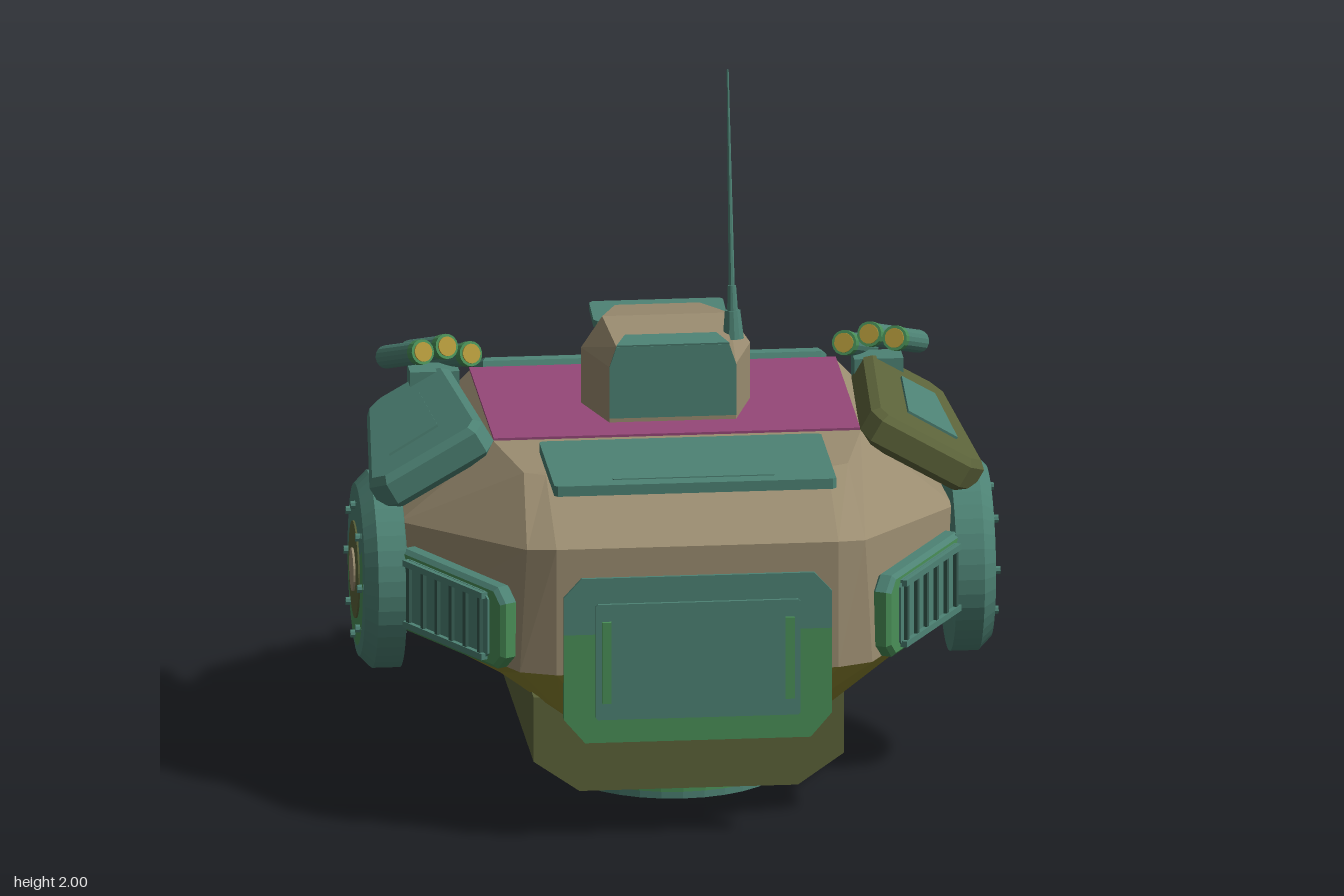
import * as THREE from 'three';

const mat = (name, color) => new THREE.MeshStandardMaterial({ name, color, flatShading: true });

export function createModel() {
  const root = new THREE.Group();
  root.name = 'walkerTorso';
  const tan = mat('tan', 0x9a8c70), teal = mat('teal', 0x4d8274), green = mat('green', 0x4a9058);
  const olive = mat('olive', 0x5c633a), plum = mat('plum', 0x964878), mustard = mat('mustard', 0x8c842f);
  const amber = mat('amber', 0xb59a3c), dark = mat('dark teal', 0x35594f);

  const V = (x, y, z) => new THREE.Vector3(x, y, z);
  const add = (name, geo, m) => {
    const mesh = new THREE.Mesh(geo, m);
    mesh.name = name;
    root.add(mesh);
    return mesh;
  };
  // Set a geometry on a surface: local z along the normal, local y near up
  const place = (name, geo, m, pos, normal = V(0, 0, 1), up = V(0, 1, 0)) => {
    const z = normal.clone().normalize(), x = up.clone().cross(z).normalize();
    const mesh = add(name, geo, m);
    mesh.quaternion.setFromRotationMatrix(new THREE.Matrix4().makeBasis(x, z.clone().cross(x), z));
    mesh.position.copy(pos);
    return mesh;
  };
  // Plate of a given outline, back at z = 0, with a chamfered front edge
  const plate = (pts, depth, bevel = 0) => {
    const shape = new THREE.Shape(pts.map(p => new THREE.Vector2(...p)));
    return new THREE.ExtrudeGeometry(shape, {
      depth: depth - bevel, bevelEnabled: bevel > 0, bevelSegments: 1,
      bevelThickness: bevel, bevelSize: bevel, bevelOffset: -bevel,
    });
  };
  // Material group 1 for upward (dir 1) or downward (dir -1) edges, group 0 for the rest
  const edgeGroups = (geo, dir) => {
    const n = geo.attributes.normal;
    geo.clearGroups();
    for (let i = 0; i < n.count; i += 3) geo.addGroup(i, 3, n.getY(i) * dir > 0.3 ? 1 : 0);
    return geo;
  };
  const cut = (w, h, c) => {
    const a = w / 2, b = h / 2;
    return [[-a + c, -b], [a - c, -b], [a, -b + c], [a, b - c], [a - c, b], [-a + c, b], [-a, b - c], [-a, -b + c]];
  };
  const sym = half => [...half, ...half.slice().reverse().map(([x, y]) => [-x, y])];
  const disc = (r1, r2, d, n = 24) => new THREE.CylinderGeometry(r1, r2, d, n).rotateX(Math.PI / 2);
  const rod = (name, a, b, r1, r2, m, n = 12) =>
    place(name, disc(r2, r1, a.distanceTo(b), n), m, a.clone().lerp(b, 0.5), b.clone().sub(a), V(0.1, 1, 0.05));
  // Skin over mirrored half loops, each listed front to back, capped in strips
  const loft = (levels, capTop, capBottom) => {
    const L = levels.map(h => [...h, ...h.slice().reverse().map(([x, y, z]) => [-x, y, z])]);
    const n = L[0].length, top = L[L.length - 1], out = [];
    const quad = (a, b, c, d) => out.push(...a, ...b, ...c, ...a, ...c, ...d);
    for (let k = 0; k < L.length - 1; k++) for (let i = 0; i < n; i++) {
      const j = (i + 1) % n;
      quad(L[k][i], L[k][j], L[k + 1][j], L[k + 1][i]);
    }
    for (let i = 0; i < n / 2 - 1; i++) {
      if (capTop) quad(top[i], top[i + 1], top[n - 2 - i], top[n - 1 - i]);
      if (capBottom) quad(L[0][n - 1 - i], L[0][n - 2 - i], L[0][i + 1], L[0][i]);
    }
    const g = new THREE.BufferGeometry();
    g.setAttribute('position', new THREE.Float32BufferAttribute(out, 3));
    g.computeVertexNormals();
    return g;
  };

  // Hull
  const floor = [[0.3, 0.36, 0.84], [0.37, 0.35, 0.79], [0.5, 0.33, 0.3], [0.5, 0.33, -0.33], [0.25, 0.36, -0.72]];
  const waist = [[0.4, 0.5, 0.9], [0.5, 0.5, 0.86], [0.8, 0.5, 0.32], [0.75, 0.5, -0.36], [0.33, 0.5, -0.8]];
  const chest = [[0.4, 0.87, 0.9], [0.48, 0.86, 0.86], [0.79, 0.79, 0.32], [0.74, 0.79, -0.36], [0.31, 0.82, -0.79]];
  const roof = [[0.4, 1.0, 0.6], [0.46, 1.0, 0.57], [0.52, 1.02, 0.33], [0.52, 1.02, -0.365], [0.49, 1.015, -0.38]];
  add('hullUpper', loft([waist, chest, roof], true, false), tan);
  add('hullUnderside', loft([floor, waist], false, true), mustard);
  place('roofPanel', plate([[-0.52, -0.32], [0.52, -0.32], [0.52, 0.37], [-0.52, 0.37]], 0.008), plum,
    V(0, 1.019, 0), V(0, 1, 0), V(0, 0, -1));
  place('roofHatch', plate(cut(0.8, 0.44, 0.01), 0.03), teal, V(0, 1.01, 0.625), V(0, 1, 0), V(0, 0, -1));
  place('hatchRib', plate(cut(0.46, 0.012, 0.003), 0.005), teal, V(0, 1.038, 0.79), V(0, 1, 0), V(0, 0, -1));

  // Hip block, neck and waist ring
  const hip = sym([[0.31, 0.08], [0.44, 0.17], [0.44, 0.36]]);
  place('hipBlock', plate(hip, 0.91), olive, V(0, 0, -0.26));
  place('hipPatch', plate([[-0.17, 0.04], [-0.1, -0.02], [0, -0.05], [0.1, -0.02], [0.17, 0.04]], 0.006), tan,
    V(0.439, 0.3, 0.21), V(1, 0, 0));
  place('hipRearPanel', edgeGroups(plate(cut(0.46, 0.25, 0.06), 0.045, 0.012), 1), [green, teal],
    V(0, 0.22, -0.275), V(0, 0.2, -1));
  [['neck', 0.3, 0.06, 0.07, tan], ['waistRing', 0.325, 0.026, 0.037, green], ['waistRingLower', 0.315, 0.024, 0.013, teal]]
    .forEach(([name, r, h, y, m]) => { add(name, new THREE.CylinderGeometry(r, r, h, 32), m).position.set(0, y, 0.18); });
  add('waistSocket', new THREE.CylinderGeometry(0.255, 0.255, 0.006, 32), olive).position.set(0, 0.003, 0.18);

  // Front door, teal above and green below
  place('doorUpper', plate(sym([[0.38, 0], [0.38, 0.11], [0.33, 0.165]]), 0.03), teal, V(0, 0.62, 0.88));
  place('doorLower', plate(sym([[0.32, -0.32], [0.38, -0.25], [0.38, 0]]), 0.03), green, V(0, 0.62, 0.88));
  place('doorInset', plate(cut(0.58, 0.34, 0.006), 0.015), teal, V(0, 0.54, 0.905));
  for (const s of [-1, 1]) add('doorHandle', new THREE.BoxGeometry(0.026, 0.24, 0.016), green).position.set(s * 0.26, 0.54, 0.922);
  add('doorHinge', new THREE.BoxGeometry(0.5, 0.07, 0.05), green).position.set(0, 0.335, 0.86);

  // Rear slope cover with hatch
  const slopeN = V(0, 0.903, -0.43), slopeUp = V(0, 0, -1);
  const onSlope = (name, pts, d, lift, m, b) =>
    place(name, plate(pts, d, b), m, V(0, 0.917, -0.575).addScaledVector(slopeN, lift), slopeN, slopeUp);
  onSlope('rearCover', sym([[0.48, -0.23], [0.5, -0.17], [0.29, 0.18], [0.2, 0.23]]), 0.045, -0.005, teal, 0.012);
  onSlope('rearHatch', sym([[0.14, -0.17], [0.16, -0.15], [0.1, 0.18], [0.08, 0.2]]), 0.018, 0.035, olive, 0.006);
  onSlope('rearPatch', [[-0.37, -0.047], [-0.14, -0.047], [-0.14, 0.075], [-0.37, 0.075]], 0.006, 0.038, tan);

  // Rear sensor block
  const back = V(0, 0, -1);
  place('sensorBlock', edgeGroups(plate(cut(0.6, 0.23, 0.05), 0.09, 0.015), -1), [teal, green], V(0, 0.61, -0.79), back);
  place('sensorFrame', plate(cut(0.48, 0.14, 0.02), 0.008), dark, V(0, 0.6, -0.878), back);
  for (const x of [-0.15, 0, 0.15]) {
    place('sensorWindow', plate(cut(0.135, 0.1, 0.01), 0.008), green, V(x, 0.6, -0.883), back);
    place('sensorLens', disc(0.013, 0.013, 0.01, 10), teal, V(x, 0.6, -0.893), back);
  }
  place('sensorVisor', plate(cut(0.58, 0.14, 0.02), 0.03), teal, V(0, 0.71, -0.85), V(0, 1, 0.22), back);
  place('lowerBeam', edgeGroups(plate(cut(0.48, 0.14, 0.04), 0.055, 0.014), 1), [green, teal],
    V(0, 0.43, -0.755), V(0, -0.53, -0.85));
  for (const s of [-1, 1]) add('beamBracket', new THREE.BoxGeometry(0.05, 0.06, 0.08), teal).position.set(s * 0.22, 0.44, -0.79);

  // Turret
  const ring = y => [[0.18, y, 0.2], [0.24, y, 0], [0.16, y, -0.235]];
  add('turret', loft([ring(1.02), ring(1.19), [[0.16, 1.25, 0.2], [0.18, 1.28, 0], [0.12, 1.24, -0.235]]], true, false), tan);
  place('turretWindow', plate(sym([[0.18, 1.04], [0.18, 1.19], [0.16, 1.25]]), 0.009), teal, V(0, 0, 0.197));
  place('turretWindowTop', plate(sym([[0.16, -0.035], [0.13, 0.035]]), 0.008), teal,
    V(0, 1.252, 0.17), V(0, 0.2, 0.03), back);
  place('turretSensor', plate(cut(0.3, 0.1, 0.01), 0.03), teal, V(0, 1.12, -0.225), back);
  for (const x of [-0.09, 0, 0.09]) place('turretLens', plate(cut(0.07, 0.06, 0.01), 0.007), dark, V(x, 1.12, -0.253), back);
  place('turretVisor', plate(cut(0.38, 0.14, 0.01), 0.022), teal, V(0, 1.21, -0.21), V(0, 1, 0.12), back);
  rod('antennaBase', V(0.18, 1.24, 0.12), V(0.179, 1.32, 0.109), 0.03, 0.022, teal);
  rod('antennaNeck', V(0.179, 1.31, 0.11), V(0.178, 1.39, 0.1), 0.016, 0.012, teal);
  rod('antennaWhip', V(0.178, 1.36, 0.1), V(0.175, 2, 0.01), 0.009, 0.003, teal, 8);

  for (const s of [-1, 1]) {
    // Shoulder armour
    const n = V(s * 0.5, 0.866, 0), up = V(0, 0, -1), at = V(s * 0.675, 0.928, 0.025);
    const flip = pts => pts.map(([x, y]) => [x * s, y]);
    place('shoulderArmour', plate(flip([[-0.15, -0.345], [0.14, -0.345], [0.19, -0.29], [0.13, 0.3], [0.08, 0.345],
      [-0.1, 0.345], [-0.14, 0.29], [-0.18, -0.29]]), 0.085, 0.02), s > 0 ? olive : teal, at, n, up);
    place('shoulderInset', plate(flip([[-0.06, -0.18], [0.1, -0.19], [0.07, 0.19], [-0.04, 0.19]]), 0.009), teal,
      at.clone().addScaledVector(n, 0.083), n, up);

    // Launch tubes
    [[0.53, 1.11, -0.23], [0.6, 1.138, -0.215], [0.67, 1.13, -0.195]].forEach(([x, y, z]) => {
      const a = V(s * (x + 0.085), y - 0.07, z - 0.19), b = V(s * x, y, z), d = b.clone().sub(a);
      const p = t => a.clone().addScaledVector(d, t);
      rod('launchTube', a, b, 0.033, 0.033, teal, 16);
      rod('tubeCollar', p(0.88), p(1.01), 0.036, 0.036, green, 16);
      rod('tubeFrontCap', p(1), p(1.03), 0.028, 0.028, amber, 16);
      rod('tubeRearCap', p(0), p(-0.02), 0.026, 0.026, tan, 16);
    });
    add('tubeMount', new THREE.BoxGeometry(0.14, 0.07, 0.09), teal).position.set(s * 0.63, 1.02, -0.29);

    // Side joint disc
    const axis = V(s, 0, 0), at2 = d => V(s * (0.79 + d), 0.61, 0.18);
    const wheel = [[0, -0.05], [0.28, -0.01], [0.28, 0.07], [0.245, 0.105], [0, 0.105]].map(p => new THREE.Vector2(...p));
    const greenStart = s > 0 ? Math.PI * 5 / 6 : Math.PI, greenSpan = Math.PI * 7 / 6;
    place('jointDisc', new THREE.LatheGeometry(wheel, 40).rotateX(Math.PI / 2), teal, at2(0), axis);
    place('jointFaceLower', new THREE.RingGeometry(0.13, 0.215, 24, 1, greenStart, greenSpan), green, at2(0.109), axis);
    place('jointFaceUpper', new THREE.RingGeometry(0.13, 0.215, 20, 1, greenStart + greenSpan, Math.PI * 2 - greenSpan),
      teal, at2(0.109), axis);
    place('jointCentre', disc(0.138, 0.142, 0.02, 32), olive, at2(0.104), axis);
    place('jointHub', disc(0.062, 0.062, 0.02, 20), tan, at2(0.11), axis);
    for (let i = 0; i < 8; i++) {
      const t = (i / 8) * Math.PI * 2;
      place('jointBolt', disc(0.012, 0.012, 0.025, 8), teal, at2(0.11).add(V(0, Math.sin(t) * 0.19, Math.cos(t) * 0.19)), axis);
    }

    // Panels on the diagonal faces; u runs along the face, v up, w outward
    const face = (origin, normal) => (name, geo, m, u, v, w) => {
      const z = normal.clone().normalize(), x = V(0, 1, 0).cross(z);
      place(name, geo, m, origin.clone().addScaledVector(x, u).addScaledVector(z, w).add(V(0, v, 0)), normal);
    };
    const vent = face(V(s * 0.65, 0.62, 0.605), V(s * 0.54, 0, 0.3));
    vent('ventFrame', edgeGroups(plate(cut(0.54, 0.24, 0.04), 0.045, 0.012), 1), [green, teal], 0, 0, -0.01);
    vent('ventWell', plate(cut(0.41, 0.2, 0.02), 0.008), teal, 0, 0, 0.033);
    for (const v of [-0.09, 0.09]) vent('ventRail', new THREE.BoxGeometry(0.39, 0.018, 0.02), teal, 0, v, 0.045);
    for (let i = 0; i < 6; i++) vent('ventSlat', new THREE.BoxGeometry(0.014, 0.17, 0.018), dark, -0.175 + i * 0.07, 0, 0.043);

    const rear = face(V(s * 0.55, 0.605, -0.585), V(s * 0.44, 0, -0.42));
    rear('rearSidePanel', edgeGroups(plate(cut(0.57, 0.23, 0.05), 0.06, 0.018), 1), [green, teal], 0, 0, -0.01);
    rear('boltPlate', plate(cut(0.29, 0.13, 0.02), 0.012), s > 0 ? green : teal, 0, 0.03, 0.048);
    for (const u of [-0.1, 0.1]) for (const v of [-0.01, 0.07])
      rear('panelBolt', disc(0.011, 0.013, 0.02, 8), teal, u, v, 0.066);

    // Twin lamps and a marker lamp under the rear corners
    const lamp = face(V(s * 0.46, 0.425, -0.66), V(s * 0.5, 0, -0.8));
    lamp('lampBox', new THREE.BoxGeometry(0.17, 0.09, 0.12), teal, 0, 0, 0);
    for (const v of [-0.045, 0.045]) lamp('lampGuard', new THREE.BoxGeometry(0.18, 0.012, 0.06), teal, 0, v, 0.07);
    for (const u of [-0.085, 0, 0.085]) lamp('lampPost', new THREE.BoxGeometry(0.012, 0.09, 0.06), teal, u, 0, 0.07);
    for (const u of [-0.043, 0.043]) lamp('lampLens', disc(0.028, 0.028, 0.02, 16), amber, u, 0, 0.063);
    lamp('lampKnuckle', new THREE.SphereGeometry(0.035, 12, 8), green, 0, -0.05, 0.02);
    place('markerLamp', disc(0.03, 0.03, 0.07, 14), teal, V(s * 0.31, 0.42, -0.77), back);
    place('markerLens', disc(0.02, 0.02, 0.01, 14), tan, V(s * 0.31, 0.42, -0.807), back);
  }
  return root;
}
